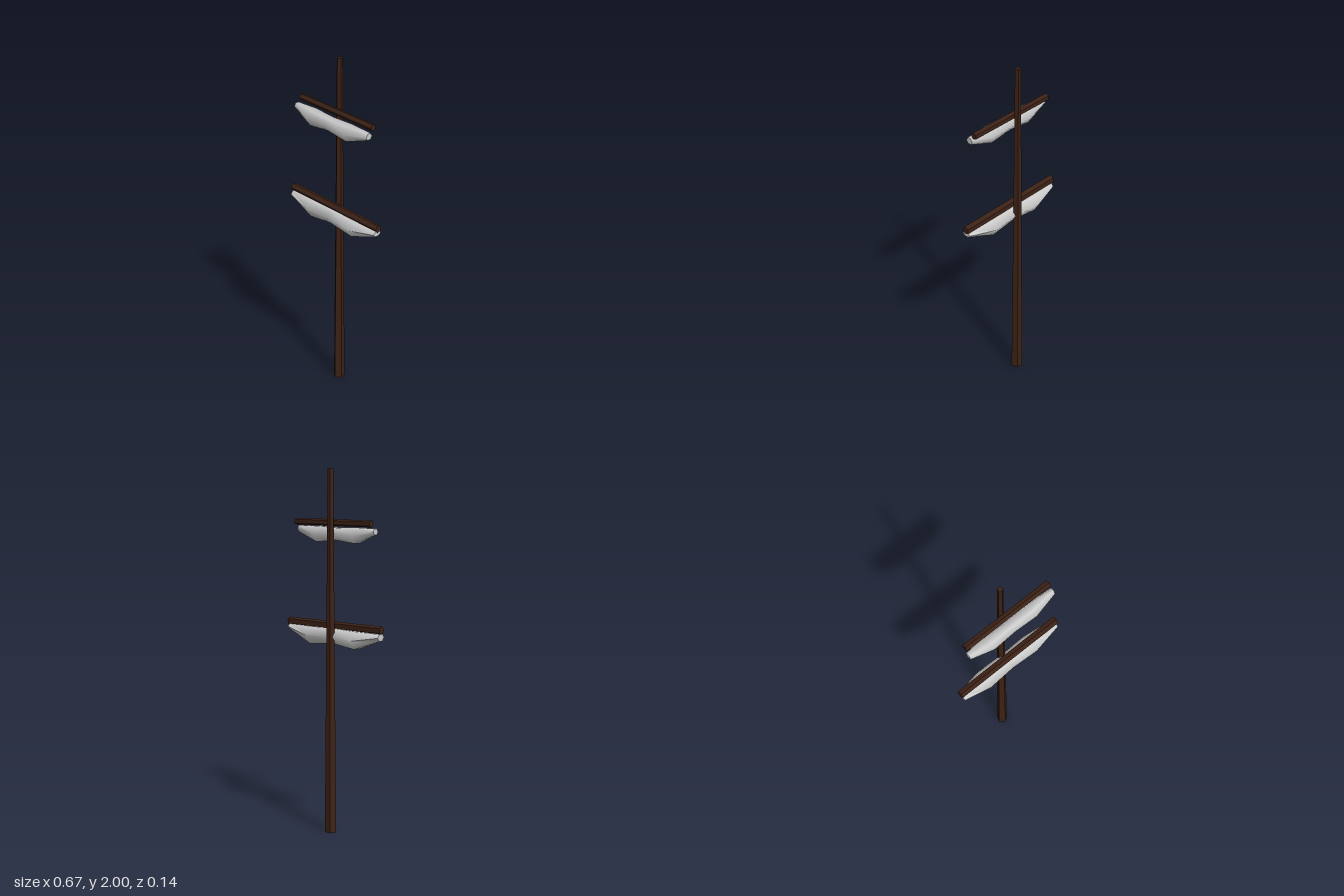
import * as THREE from 'three';
import { mergeVertices, toCreasedNormals } from 'three/addons/utils/BufferGeometryUtils.js';

const wood = new THREE.MeshStandardMaterial({ color: 0x3d2216, flatShading: true });
const cloth = new THREE.MeshStandardMaterial({ color: 0xcccccc });

function addMesh(parent, name, geometry, material) {
  const mesh = new THREE.Mesh(geometry, material);
  mesh.name = name;
  parent.add(mesh);
  return mesh;
}

// Five-sided spar lying along x
function addYard(parent, name, radius, x, length, y, z) {
  const geo = new THREE.CylinderGeometry(radius, radius, length, 5).rotateZ(Math.PI / 2);
  addMesh(parent, name, geo, wood).position.set(x, y, z);
}

// Furled sail: a six-sided roll shaped by stations [x, bottom, top, back, front]
function addSail(parent, name, stations) {
  let geo = new THREE.CylinderGeometry(1, 1, 1, 6, stations.length - 1).rotateZ(Math.PI / 2);
  const pos = geo.attributes.position;
  const flat = Math.sin(Math.PI / 3);
  for (let i = 0; i < pos.count; i++) {
    const k = Math.round((pos.getX(i) + 0.5) * (stations.length - 1));
    const [x, bottom, top, back, front] = stations[k];
    pos.setXYZ(i, x,
      (bottom + top) / 2 + pos.getY(i) / flat * (top - bottom) / 2,
      (back + front) / 2 + pos.getZ(i) * (front - back) / 2);
  }
  geo.deleteAttribute('normal');
  geo.deleteAttribute('uv');
  geo = toCreasedNormals(mergeVertices(geo), 1.13);
  addMesh(parent, name, geo, cloth);
}

export function createModel() {
  const model = new THREE.Group();
  model.name = 'mastWithFurledSails';

  // Tapered mast
  addMesh(model, 'mast', new THREE.CylinderGeometry(0.016, 0.033, 2, 5), wood)
    .position.set(-0.014, 1, -0.044);

  // Yards
  addYard(model, 'lowerYard', 0.0226, -0.001, 0.668, 1.152, 0.001);
  addYard(model, 'upperYard', 0.019, 0, 0.54, 1.713, -0.011);

  // Furled sails, bulging on either side of the mast
  addSail(model, 'lowerSail', [
    [-0.328, 1.095, 1.132, -0.023, 0.031],
    [-0.170, 1.038, 1.135, -0.058, 0.057],
    [-0.010, 1.057, 1.140, -0.050, 0.050],
    [0.155, 1.042, 1.137, -0.056, 0.056],
    [0.326, 1.108, 1.137, -0.023, 0.031],
  ]);
  addSail(model, 'upperSail', [
    [-0.275, 1.655, 1.687, 0.000, 0.041],
    [-0.145, 1.604, 1.690, -0.021, 0.069],
    [-0.010, 1.618, 1.684, -0.015, 0.063],
    [0.130, 1.604, 1.690, -0.020, 0.068],
    [0.272, 1.655, 1.690, 0.000, 0.041],
  ]);

  return model;
}
